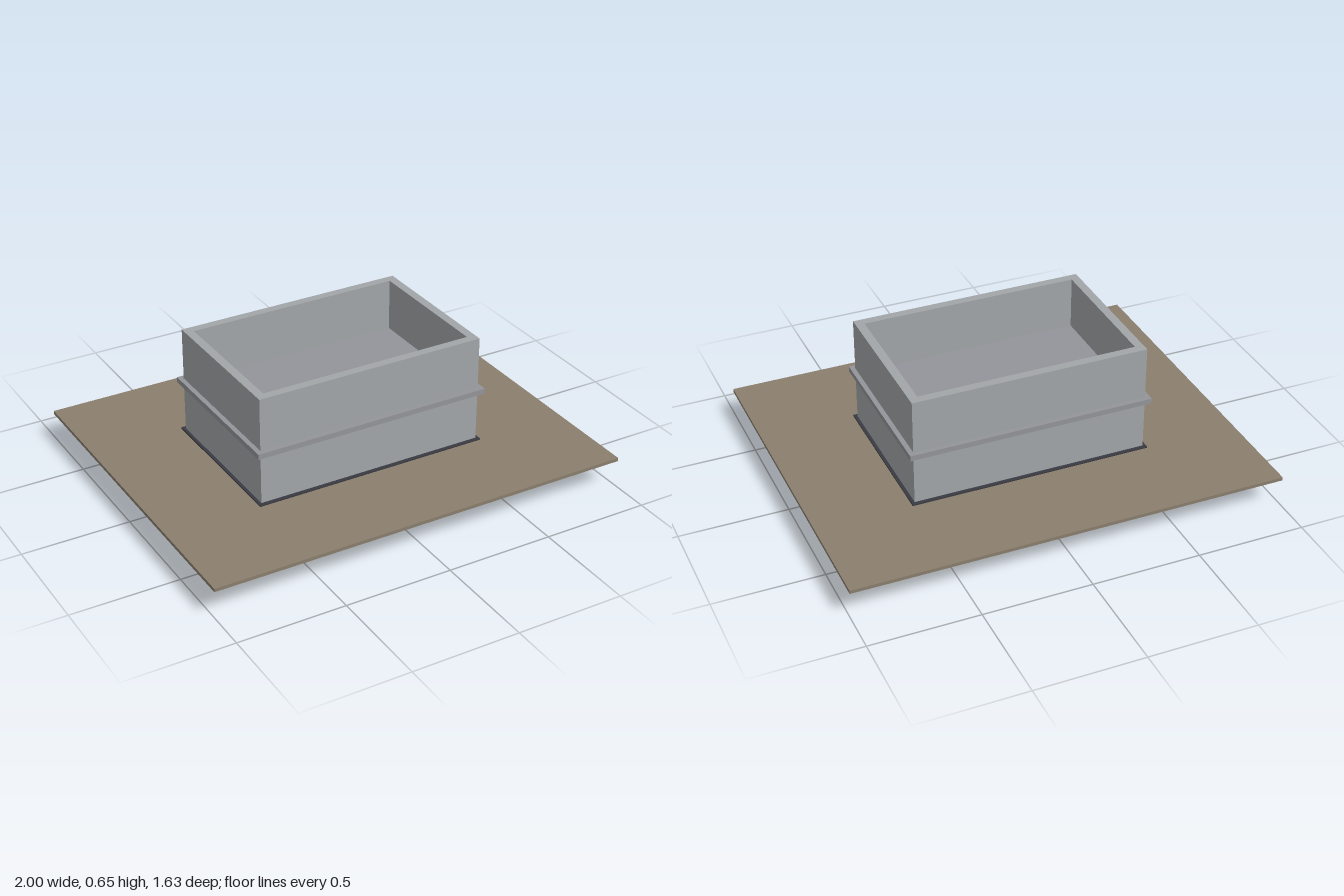
import * as THREE from 'three';

const mat = (color) => new THREE.MeshStandardMaterial({ color });

export function createModel() {
  const model = new THREE.Group();
  const earth = mat(0x8b7f6e), concrete = mat(0x9a7d28), block = mat(0xa2a6a9);
  const slab = mat(0x94959a), felt = mat(0x3a3b42), steel = mat(0x66625a);

  const group = (name) => {
    const g = new THREE.Group();
    g.name = name;
    model.add(g);
    return g;
  };

  // Box given by its half extents in x and z and its bottom and top
  function box(parent, name, material, hx, hz, y0, y1, x = 0, z = 0) {
    const mesh = new THREE.Mesh(new THREE.BoxGeometry(2 * hx, y1 - y0, 2 * hz), material);
    mesh.position.set(x, (y0 + y1) / 2, z);
    mesh.name = name;
    parent.add(mesh);
    return mesh;
  }

  // Closed horizontal ring cut from an outline, with a rectangular opening
  function ring(name, material, outline, ix, iz, y0, y1) {
    const shape = new THREE.Shape(outline.map(([x, z]) => new THREE.Vector2(x, z)));
    shape.holes.push(new THREE.Path(rect(ix, iz).map(([x, z]) => new THREE.Vector2(x, z))));
    const geometry = new THREE.ExtrudeGeometry(shape, { depth: y1 - y0, bevelEnabled: false });
    geometry.rotateX(-Math.PI / 2).translate(0, y0, 0);
    const mesh = new THREE.Mesh(geometry, material);
    mesh.name = name;
    model.add(mesh);
  }
  const rect = (x, z) => [[-x, -z], [x, -z], [x, z], [-x, z]];

  // Ground sheet
  box(model, 'ground', earth, 1, 0.817, 0.13, 0.146);

  // Foundation beams, running past each other at the corners
  const bx = 0.555, bz = 0.38, ex = 0.6, ez = 0.415, ix = 0.455, iz = 0.28;
  const footing = [
    [ix, -bz], [ix, -ez], [bx, -ez], [bx, -bz], [ex, -bz], [ex, -iz], [bx, -iz],
    [bx, iz], [ex, iz], [ex, bz], [bx, bz], [bx, ez], [ix, ez], [ix, bz],
  ];
  const outline = [...footing, ...footing.map(([x, z]) => [-x, -z])];
  ring('foundation', concrete, outline, ix, iz, 0.001, 0.144);

  // Round pile ends flush with the underside of the foundation corners
  const piles = group('piles');
  for (const sx of [-1, 1]) for (const sz of [-1, 1]) {
    const pile = new THREE.Mesh(new THREE.CylinderGeometry(0.025, 0.025, 0.1, 20), steel);
    pile.position.set(sx * 0.505, 0.05, sz * 0.33);
    pile.name = 'pile';
    piles.add(pile);
  }

  // Damp-proof layer under the walls
  ring('dampProofLayer', felt, rect(0.56, 0.38), 0.49, 0.308, 0.146, 0.152);

  // Wall courses, lapped alternately at the corners
  const wx = 0.545, wz = 0.363, t = 0.04;
  function walls(name, levels) {
    const g = group(name);
    for (let i = 0; i + 1 < levels.length; i++) {
      const longX = i % 2 === 0;
      const [y0, y1] = [levels[i], levels[i + 1]];
      for (const s of [-1, 1]) {
        box(g, 'longCourse', block, longX ? wx : wx - t, t / 2, y0, y1, 0, s * (wz - t / 2));
        box(g, 'shortCourse', block, t / 2, longX ? wz - t : wz, y0, y1, s * (wx - t / 2), 0);
      }
    }
  }
  walls('lowerWalls', [0.152, 0.169, 0.223, 0.277, 0.331, 0.385]);
  walls('upperWalls', [0.41, 0.445, 0.498, 0.55, 0.603, 0.655]);

  // Floor slab, projecting as a band around the walls
  box(model, 'floorSlab', slab, 0.567, 0.387, 0.385, 0.41);

  return model;
}
